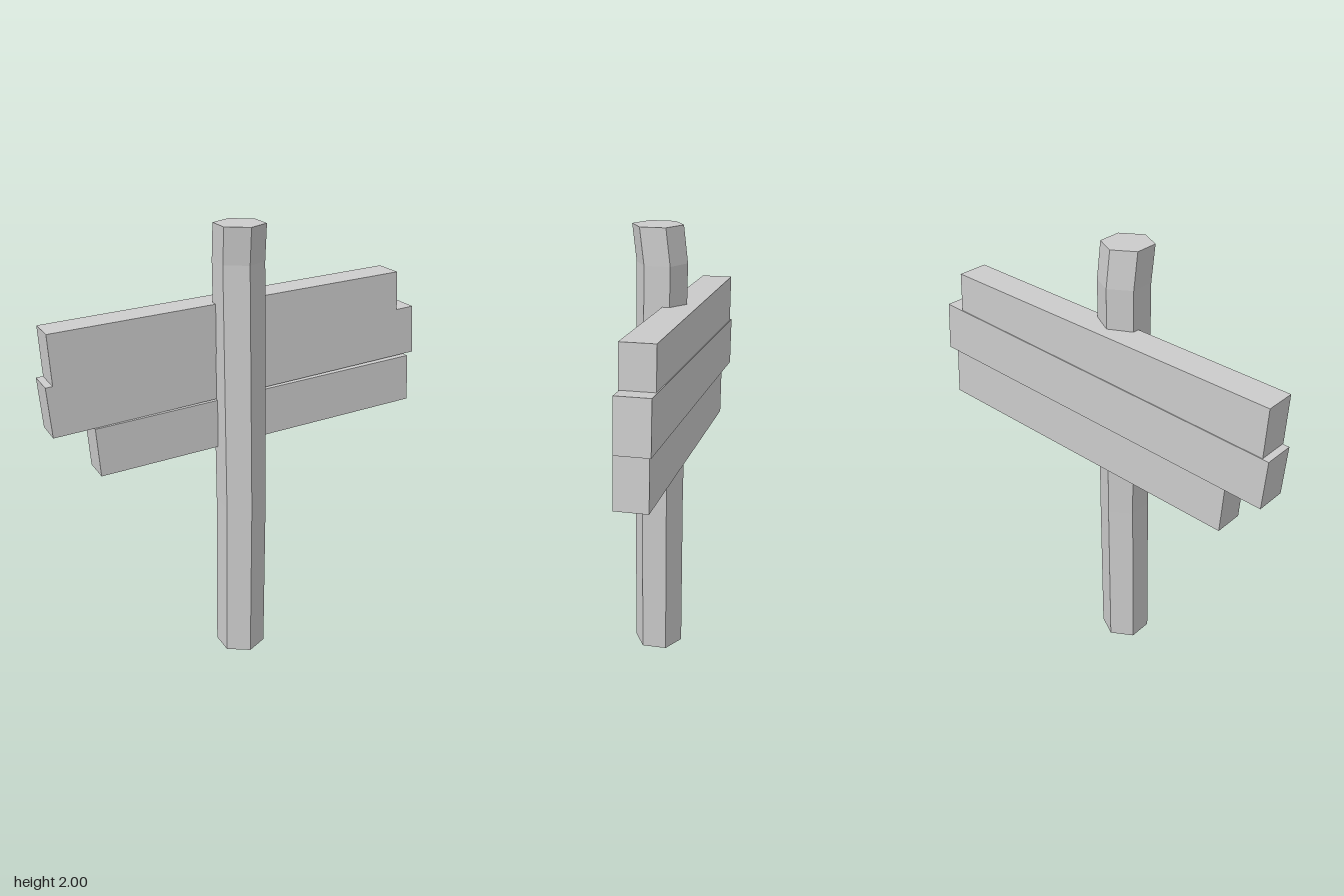
import * as THREE from 'three';

const material = new THREE.MeshStandardMaterial({ color: 0xcccccc, flatShading: true, side: THREE.DoubleSide });

// Post rings from the ground up: [x, y, z] of each centre
const rings = [[-0.042, 0, 0.041], [-0.034, 0.74, 0.036], [-0.038, 1.84, 0.021], [-0.041, 2, 0.04]];
const radius = 0.112;

// Planks: centre, length, height, depth and tilt
const planks = [
  { name: 'topPlank', at: [-0.043, 1.553, -0.073], size: [1.642, 0.22, 0.144], tilt: 0.052 },
  { name: 'middlePlank', at: [-0.001, 1.354, -0.077], size: [1.76, 0.223, 0.144], tilt: 0.077 },
  { name: 'bottomPlank', at: [0.086, 1.134, -0.065], size: [1.545, 0.219, 0.14], tilt: 0.071 },
];

function createPost() {
  const post = new THREE.Group();
  post.name = 'post';

  // Six-sided shaft, open underneath, bent by moving each ring to its centre
  const geometry = new THREE.CylinderGeometry(radius, radius, 3, 6, 3, true);
  const p = geometry.attributes.position;
  for (let i = 0; i < p.count; i++) {
    const [x, y, z] = rings[Math.round(p.getY(i) + 1.5)];
    p.setXYZ(i, p.getX(i) + x, y, p.getZ(i) + z);
  }
  geometry.computeVertexNormals();
  const shaft = new THREE.Mesh(geometry, material);
  shaft.name = 'postShaft';

  // Flat top
  const cap = new THREE.Mesh(new THREE.CircleGeometry(radius, 6, Math.PI / 2), material);
  cap.name = 'postTop';
  cap.rotation.x = -Math.PI / 2;
  cap.position.set(...rings[3]);

  post.add(shaft, cap);
  return post;
}

export function createModel() {
  const model = new THREE.Group();
  model.name = 'signpost';
  model.add(createPost());

  // Tilted planks fixed behind the post
  for (const { name, at, size, tilt } of planks) {
    const plank = new THREE.Mesh(new THREE.BoxGeometry(...size), material);
    plank.name = name;
    plank.position.set(...at);
    plank.rotation.z = tilt;
    model.add(plank);
  }
  return model;
}
